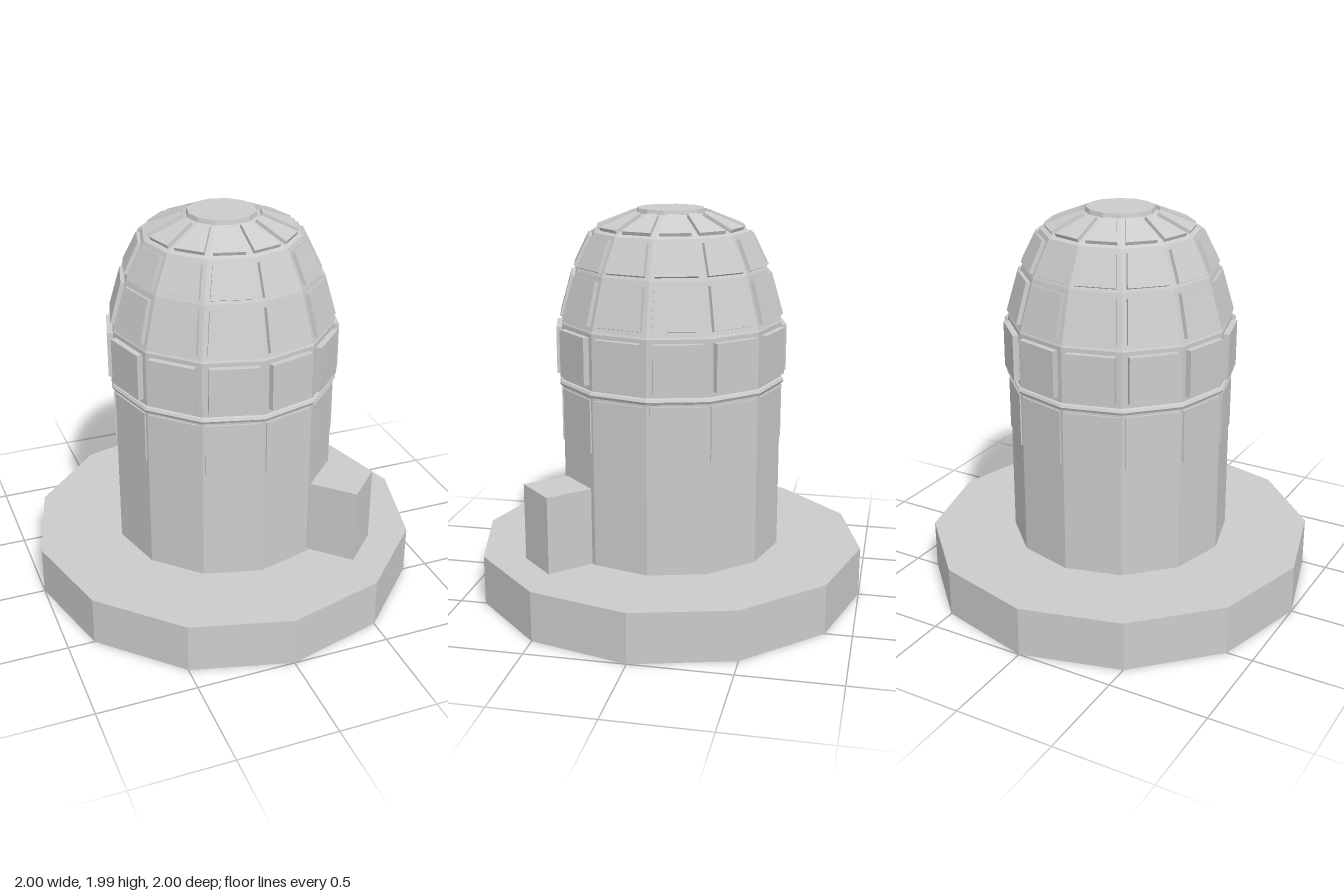
import * as THREE from 'three';

const SIDES = 12;
const HALF = Math.PI / SIDES;

export function createModel() {
  const root = new THREE.Group();
  root.name = 'domedTower';
  const material = new THREE.MeshStandardMaterial({ color: 0xcccccc, flatShading: true });

  const add = (name, geometry, parent = root) => {
    const mesh = new THREE.Mesh(geometry, material);
    mesh.name = name;
    parent.add(mesh);
    return mesh;
  };
  // Twelve-sided solid from [radius, height] pairs, bottom to top
  const turned = (points) =>
    new THREE.LatheGeometry(points.map(([r, y]) => new THREE.Vector2(r, y)), SIDES);

  // Plinth
  add('base', new THREE.CylinderGeometry(1, 1, 0.255, SIDES)).position.y = 0.1275;

  // Tower wall running into the faceted dome
  add('towerBody', turned([
    [0.565, 0.25], [0.565, 1.13], [0.565, 1.43], [0.56, 1.44],
    [0.487, 1.69], [0.395, 1.875], [0.17, 1.965], [0, 1.965],
  ]));
  add('topCap', new THREE.CylinderGeometry(0.17, 0.175, 0.025, SIDES)).position.y = 1.973;

  // Moulding between the wall and the dome
  add('beltRing', turned([
    [0.56, 1.115], [0.575, 1.12], [0.582, 1.133], [0.575, 1.146], [0.56, 1.152],
  ]));

  // A tapered panel lying on one facet, given the facet's corner radii at two heights
  const panelGeometry = ({ y0, r0, y1, r1, margin, depth }) => {
    const a0 = r0 * Math.cos(HALF), a1 = r1 * Math.cos(HALF);
    const w0 = r0 * Math.sin(HALF) - margin, w1 = r1 * Math.sin(HALF) - margin;
    const length = Math.hypot(y1 - y0, a0 - a1);
    const shape = new THREE.Shape([
      new THREE.Vector2(-w0, 0), new THREE.Vector2(w0, 0),
      new THREE.Vector2(w1, length), new THREE.Vector2(-w1, length),
    ]);
    const sunk = 0.005;
    return new THREE.ExtrudeGeometry(shape, { depth: depth + sunk, bevelEnabled: false })
      .translate(0, 0, -sunk)
      .rotateX(-Math.atan2(a0 - a1, y1 - y0))
      .translate(0, y0, a0);
  };

  const rows = [
    { name: 'wallPanel', y0: 0.835, r0: 0.565, y1: 1.105, r1: 0.565, margin: 0.014, depth: 0.008 },
    { name: 'beltPanel', y0: 1.175, r0: 0.565, y1: 1.41, r1: 0.565, margin: 0.028, depth: 0.03 },
    { name: 'lowerDomePanel', y0: 1.46, r0: 0.554, y1: 1.665, r1: 0.494, margin: 0.023, depth: 0.022 },
    { name: 'middleDomePanel', y0: 1.705, r0: 0.48, y1: 1.853, r1: 0.406, margin: 0.023, depth: 0.02 },
    { name: 'upperDomePanel', y0: 1.884, r0: 0.372, y1: 1.955, r1: 0.195, margin: 0.02, depth: 0.018 },
  ];
  for (const row of rows) {
    const ring = new THREE.Group();
    ring.name = row.name + 'Row';
    root.add(ring);
    const geometry = panelGeometry(row);
    for (let i = 0; i < SIDES; i++) {
      add(row.name, geometry, ring).rotation.y = (2 * i + 1) * HALF;
    }
  }

  // Box-shaped entrance on the diagonal facet
  const entrance = add('entrance', new THREE.BoxGeometry(0.246, 0.4, 0.246));
  entrance.position.set(0.475, 0.45, 0.475);
  entrance.rotation.y = Math.PI / 4;

  return root;
}
